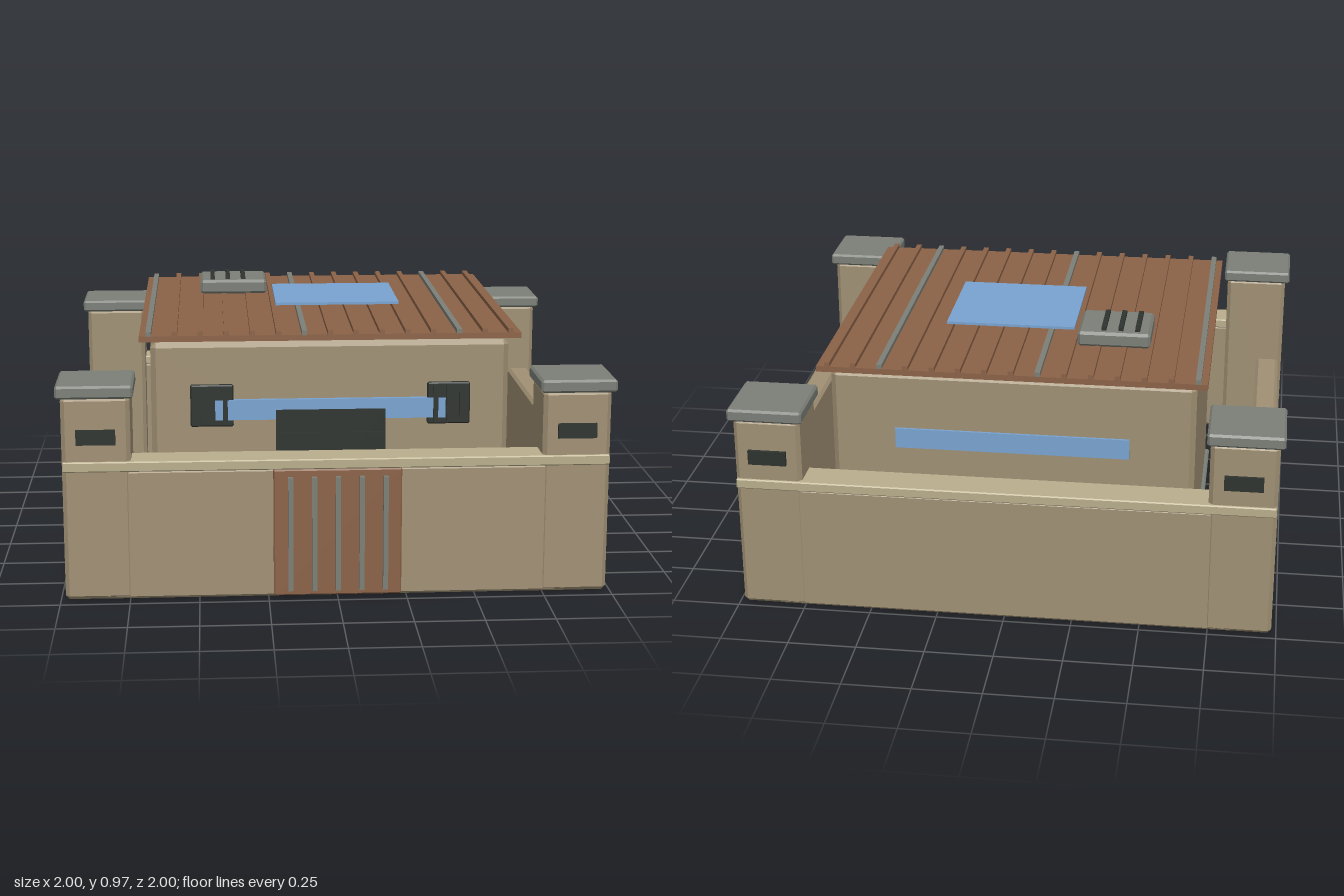
import * as THREE from 'three';
import { ConvexGeometry } from 'three/addons/geometries/ConvexGeometry.js';

const mat = (color) => new THREE.MeshStandardMaterial({ color, flatShading: true });

// Box between two corners with chamfered edges
function chamferBox(w, h, d, c) {
  const pts = [];
  for (const x of [-1, 1]) for (const y of [-1, 1]) for (const z of [-1, 1]) {
    const X = x * w / 2, Y = y * h / 2, Z = z * d / 2;
    pts.push(
      new THREE.Vector3(X, Y - y * c, Z - z * c),
      new THREE.Vector3(X - x * c, Y, Z - z * c),
      new THREE.Vector3(X - x * c, Y - y * c, Z));
  }
  return new ConvexGeometry(pts);
}

export function createModel() {
  const group = new THREE.Group();
  const stone = mat(0xa09074), rail = mat(0xb9ae8c), metal = mat(0x7b7f77);
  const wood = mat(0x8b6247), glass = mat(0x78a3d0), dark = mat(0x2e332f);

  // Adds a box spanning the ranges [min, max] on each axis
  function add(name, material, [x0, x1], [y0, y1], [z0, z1], chamfer = 0) {
    const w = x1 - x0, h = y1 - y0, d = z1 - z0;
    const geo = chamfer ? chamferBox(w, h, d, chamfer) : new THREE.BoxGeometry(w, h, d);
    const mesh = new THREE.Mesh(geo, material);
    mesh.name = name;
    mesh.position.set((x0 + x1) / 2, (y0 + y1) / 2, (z0 + z1) / 2);
    group.add(mesh);
  }
  // Range centred on c with width w
  const at = (c, w) => [c - w / 2, c + w / 2];

  // House body on its slab
  add('floorSlab', metal, [-0.69, 0.69], [0, 0.025], [-0.755, 0.555], 0.006);
  add('houseBody', stone, [-0.675, 0.675], [0.02, 0.86], [-0.735, 0.535], 0.02);

  // Ribbed roof, every sixth rib in metal
  add('roofPanel', wood, [-0.715, 0.715], [0.87, 0.892], [-0.78, 0.568]);
  for (let i = 0; i < 15; i++) {
    add('roofRib', i % 6 ? wood : metal, at(-0.68 + i * 0.0968, 0.02), [0.89, 0.908], [-0.78, 0.568]);
  }
  add('skylight', glass, [-0.19, 0.3], [0.917, 0.927], [-0.365, 0.085]);

  // Rooftop vent
  add('ventBox', metal, [-0.487, -0.215], [0.905, 0.962], [-0.5, -0.257], 0.01);
  for (let i = 0; i < 3; i++) {
    add('ventSlat', dark, at(-0.437 + i * 0.063, 0.018), [0.96, 0.974], [-0.472, -0.283]);
  }

  // Long windows front and back
  add('frontWindow', glass, [-0.435, 0.435], [0.565, 0.642], [0.53, 0.555]);
  add('backWindow', glass, [-0.435, 0.435], [0.565, 0.642], [-0.745, -0.73]);

  // Slatted shutters
  for (const s of [-1, 1]) {
    add('shutter', dark, at(s * 0.447, 0.162), [0.54, 0.7], [0.53, 0.553], 0.005);
    for (const o of [-0.05, 0, 0.05]) {
      add('shutterSlat', dark, at(s * 0.447 + o, 0.018), [0.55, 0.69], [0.55, 0.564]);
    }
  }

  // House door with cross bars
  add('door', dark, [-0.207, 0.207], [0.01, 0.603], [0.53, 0.558]);
  for (let i = 0; i < 5; i++) {
    add('doorBar', dark, [-0.195, 0.195], at(0.105 + i * 0.101, 0.015), [0.555, 0.575]);
  }

  // Corner towers with caps and outward plaques
  for (const s of [-1, 1]) for (const front of [true, false]) {
    const z = front ? 0.843 : -0.862;
    const face = front ? z + 0.123 : z - 0.123;
    add('tower', stone, at(s * 0.86, 0.245), [0.005, 0.755], at(z, 0.245), 0.015);
    add('towerCap', metal, at(s * 0.8625, 0.275), [0.75, 0.797], at(z, 0.275), 0.008);
    add('towerPlaque', dark, at(s * 0.86, 0.14), [0.583, 0.637], at(face, 0.024));
  }

  // Front and back walls with top rails
  for (const z of [0.908, -0.927]) {
    const o = Math.sign(z);
    add('wall', stone, [-0.84, 0.84], [0.005, 0.485], at(z, 0.108), 0.01);
    add('wallRail', rail, [-0.98, 0.98], [0.483, 0.52], at(z + o * 0.001, 0.133), 0.004);
  }

  // Side walls, open towards the front
  for (const s of [-1, 1]) {
    add('sideWall', stone, at(s * 0.921, 0.093), [0.005, 0.472], [-0.78, 0.54], 0.012);
  }

  // Gate with vertical bars
  add('gate', wood, [-0.232, 0.23], [0.012, 0.483], [0.95, 0.977], 0.005);
  for (let i = -2; i <= 2; i++) {
    add('gateBar', metal, at(i * 0.0855, 0.018), [0.035, 0.457], [0.97, 0.998]);
  }

  return group;
}
